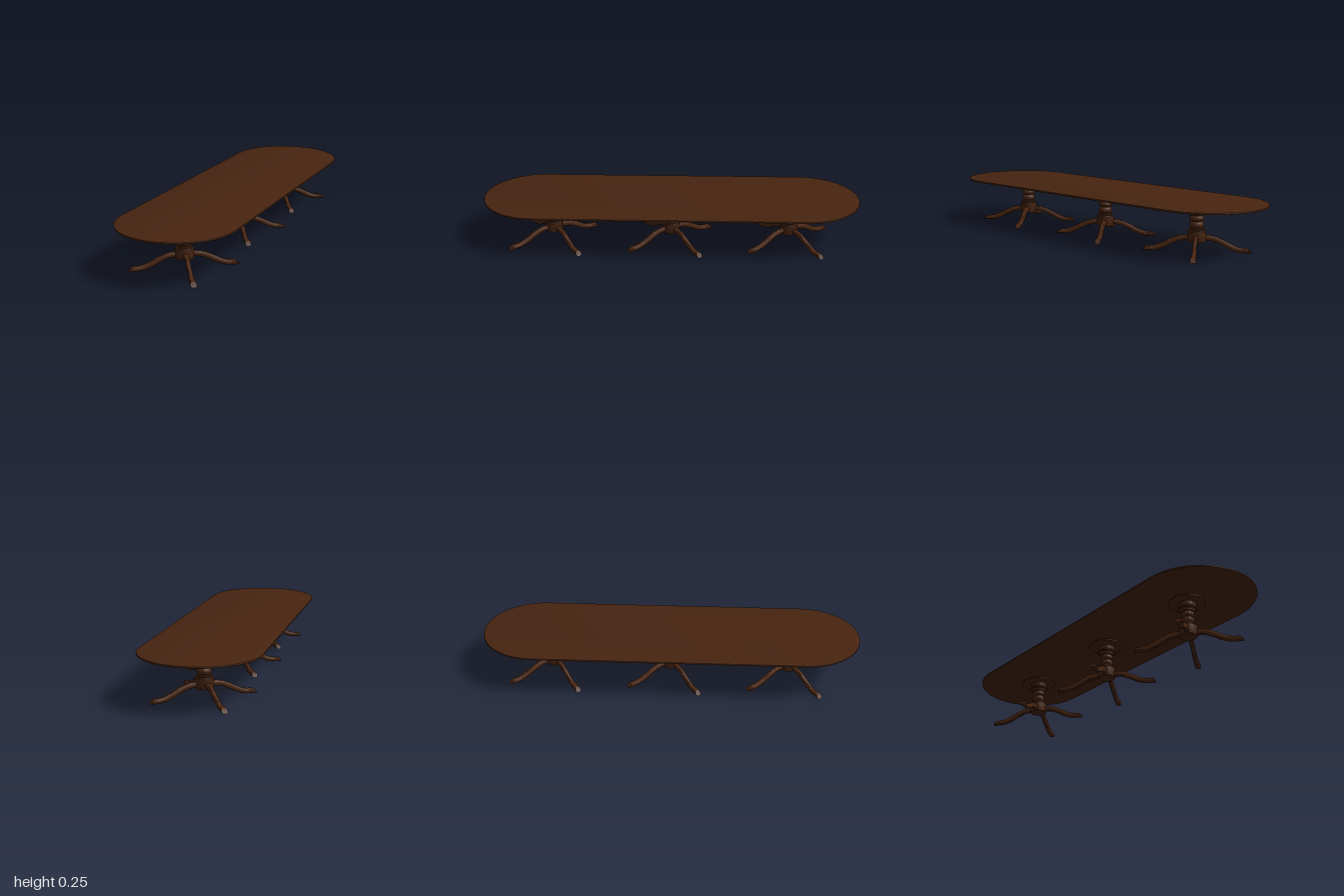
import * as THREE from 'three';
import { toCreasedNormals, mergeVertices } from 'three/addons/utils/BufferGeometryUtils.js';

const darkWood = new THREE.MeshStandardMaterial({ color: 0x472410 });
darkWood.name = 'darkWood';

function makeMesh(name, geometry) {
  const mesh = new THREE.Mesh(geometry, darkWood);
  mesh.name = name;
  return mesh;
}

// Long top with round ends and softened edges
function tabletopGeometry() {
  const outline = new THREE.Shape();
  outline.absarc(0, 0.7, 0.3, 0, Math.PI);
  outline.absarc(0, -0.7, 0.3, Math.PI, Math.PI * 2);
  const g = new THREE.ExtrudeGeometry(outline, {
    depth: 0.002, curveSegments: 32,
    bevelThickness: 0.004, bevelSize: 0.004, bevelOffset: -0.004, bevelSegments: 2,
  });
  g.rotateX(-Math.PI / 2);
  g.translate(0, 0.246, 0);
  return toCreasedNormals(g, 0.5);
}

// Points of one rounded bead of the turned column
function bead(y0, y1, neck, belly) {
  const points = [];
  for (let i = 0; i <= 8; i++) {
    const a = (i / 8) * Math.PI;
    points.push([neck + (belly - neck) * Math.sin(a), (y0 + y1) / 2 - ((y1 - y0) / 2) * Math.cos(a)]);
  }
  return points;
}

// Turned column: hub, rings, two beads and capital
function columnGeometry() {
  const profile = [
    [0, 0.052], [0.044, 0.052], [0.046, 0.055], [0.046, 0.104], [0.043, 0.108],
    [0.035, 0.109], [0.037, 0.112], [0.037, 0.116], [0.034, 0.118], [0.035, 0.121],
    ...bead(0.122, 0.154, 0.024, 0.036),
    ...bead(0.156, 0.184, 0.024, 0.036),
    [0.036, 0.186], [0.037, 0.194], [0.041, 0.2], [0.048, 0.201], [0.049, 0.205],
    [0.046, 0.209], [0.046, 0.23], [0.043, 0.234], [0.027, 0.234], [0.027, 0.239],
  ].map(([r, y]) => new THREE.Vector2(r, y));
  return toCreasedNormals(new THREE.LatheGeometry(profile, 40), 0.6);
}

// Curved leg lofted along +x; each section: [xTop, yTop, xBottom, yBottom, halfWidth]
function legGeometry() {
  const sections = [
    [0.03, 0.086, 0.03, 0.058, 0.012],
    [0.065, 0.086, 0.06, 0.058, 0.012],
    [0.1, 0.079, 0.088, 0.052, 0.012],
    [0.135, 0.063, 0.12, 0.038, 0.012],
    [0.17, 0.045, 0.153, 0.02, 0.012],
    [0.198, 0.032, 0.185, 0.007, 0.012],
    [0.22, 0.026, 0.212, 0.001, 0.013],
    [0.25, 0.024, 0.25, 0, 0.015],
    [0.253, 0.023, 0.272, 0, 0.015],
  ];
  const sides = 12;
  const pos = [];
  const index = [];
  const soften = (v) => Math.sign(v) * Math.abs(v) ** 0.7;
  sections.forEach(([xt, yt, xb, yb, w], i) => {
    for (let j = 0; j < sides; j++) {
      const a = (j / sides) * Math.PI * 2;
      const t = (soften(Math.cos(a)) + 1) / 2;
      pos.push(xb + (xt - xb) * t, yb + (yt - yb) * t, w * soften(Math.sin(a)));
      if (i === sections.length - 1) continue;
      const p = i * sides + j;
      const q = i * sides + ((j + 1) % sides);
      index.push(p, q, p + sides, q, q + sides, p + sides);
    }
  });
  // toe face
  const last = (sections.length - 1) * sides;
  for (let j = 1; j < sides - 1; j++) index.push(last, last + j, last + j + 1);
  const g = new THREE.BufferGeometry();
  g.setAttribute('position', new THREE.Float32BufferAttribute(pos, 3));
  g.setIndex(index);
  return toCreasedNormals(mergeVertices(g), 0.7);
}

export function createModel() {
  const table = new THREE.Group();
  table.name = 'pedestalTable';
  table.add(makeMesh('tabletop', tabletopGeometry()));

  const column = columnGeometry();
  const leg = legGeometry();
  const plate = new THREE.CylinderGeometry(0.093, 0.093, 0.006, 40);

  // Three identical pedestals, each with four splayed legs
  for (const z of [-0.635, 0, 0.635]) {
    const pedestal = new THREE.Group();
    pedestal.name = 'pedestal';
    pedestal.position.z = z;
    pedestal.add(makeMesh('column', column));
    const mount = makeMesh('mountingPlate', plate);
    mount.position.y = 0.239;
    pedestal.add(mount);
    for (let i = 0; i < 4; i++) {
      const m = makeMesh('leg', leg);
      m.rotation.y = THREE.MathUtils.degToRad(36 - 90 + i * 90);
      pedestal.add(m);
    }
    table.add(pedestal);
  }
  return table;
}
